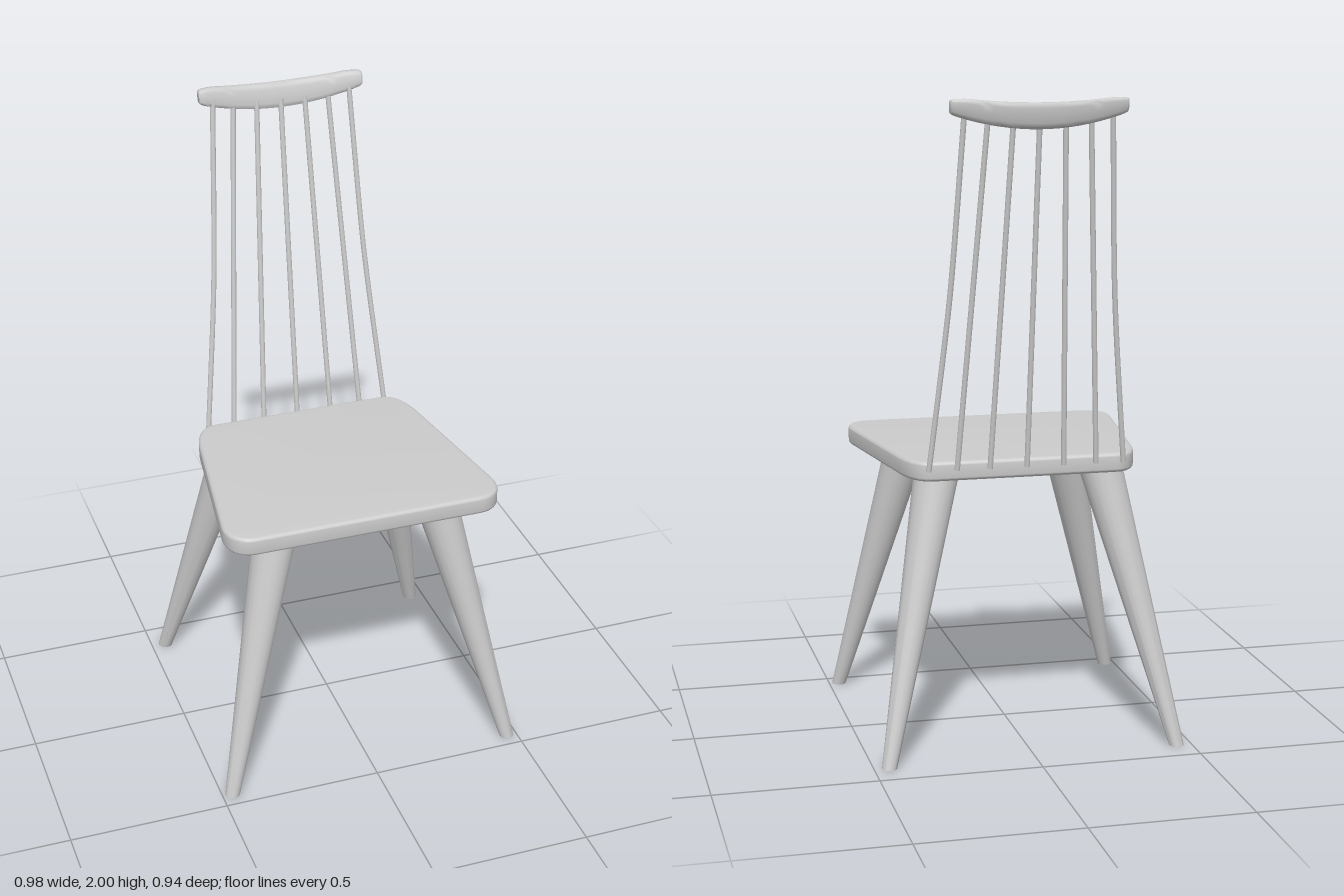
import * as THREE from 'three';
import { mergeVertices, toCreasedNormals } from 'three/addons/utils/BufferGeometryUtils.js';

const material = new THREE.MeshStandardMaterial({ color: 0xcccccc });

function addPart(parent, geometry, name) {
  const mesh = new THREE.Mesh(geometry, material);
  mesh.name = name;
  parent.add(mesh);
}

// Weld a built-in geometry and smooth it, keeping edges above the angle sharp
function smooth(geometry, angle) {
  geometry.deleteAttribute('normal');
  geometry.deleteAttribute('uv');
  return toCreasedNormals(mergeVertices(geometry, 1e-5), angle);
}

// Trapezoid seat with rounded corners and softened edges
function seatGeometry() {
  const s = new THREE.Shape();
  s.moveTo(-0.36, 0.415);
  s.lineTo(0.36, 0.415);
  s.bezierCurveTo(0.41, 0.415, 0.447, 0.375, 0.44, 0.31);
  s.lineTo(0.37, -0.17);
  s.bezierCurveTo(0.355, -0.25, 0.33, -0.29, 0.28, -0.29);
  s.lineTo(-0.28, -0.29);
  s.bezierCurveTo(-0.33, -0.29, -0.355, -0.25, -0.37, -0.17);
  s.lineTo(-0.44, 0.31);
  s.bezierCurveTo(-0.447, 0.375, -0.41, 0.415, -0.36, 0.415);
  const g = new THREE.ExtrudeGeometry(s, {
    depth: 0.038, curveSegments: 10,
    bevelThickness: 0.011, bevelSize: 0.011, bevelOffset: -0.011, bevelSegments: 4
  });
  g.rotateX(Math.PI / 2);
  g.translate(0, 0.899, 0);
  return smooth(g, 0.45);
}

// Tapered leg, sheared so that both ends stay level
function legGeometry(top, foot) {
  const h = 0.852;
  const g = new THREE.CylinderGeometry(0.07, 0.023, h, 20);
  g.translate(0, h / 2, 0);
  const p = g.attributes.position;
  for (let i = 0; i < p.count; i++) {
    const t = p.getY(i) / h;
    p.setX(i, p.getX(i) + THREE.MathUtils.lerp(foot[0], top[0], t));
    p.setZ(i, p.getZ(i) + THREE.MathUtils.lerp(foot[1], top[1], t));
  }
  return smooth(g, 0.7);
}

// Bowed top rail: rounded cross-sections swept along x, deeper in the middle
function crestGeometry() {
  const rings = 28, sides = 16, half = 0.265;
  const pos = [], index = [];
  const soft = (v) => Math.sign(v) * Math.pow(Math.abs(v), 0.6);
  for (let i = 0; i <= rings; i++) {
    const u = -Math.cos((i / rings) * Math.PI);
    const end = Math.sqrt(1 - Math.pow(Math.abs(u), 40));
    const top = 1.988 + 0.012 * Math.min(1, u * u * 1.5);
    const bottom = 1.91 + 0.045 * u * u;
    const cy = (top + bottom) / 2, hy = ((top - bottom) / 2) * (0.75 + 0.25 * end);
    const hz = 0.016 * (0.75 + 0.25 * end);
    for (let j = 0; j < sides; j++) {
      const a = (j / sides) * Math.PI * 2;
      const y = cy + hy * soft(Math.sin(a));
      const z = -0.453 + 0.021 * u * u - 0.2 * (y - 1.955) + hz * soft(Math.cos(a));
      pos.push(u * half, y, z);
    }
  }
  for (let i = 0; i < rings; i++) {
    for (let j = 0; j < sides; j++) {
      const a = i * sides + j, b = i * sides + (j + 1) % sides;
      index.push(a, a + sides, b, b, a + sides, b + sides);
    }
  }
  // End caps
  const last = rings * sides;
  for (let j = 1; j < sides - 1; j++) {
    index.push(0, j, j + 1);
    index.push(last, last + j + 1, last + j);
  }
  const g = new THREE.BufferGeometry();
  g.setAttribute('position', new THREE.Float32BufferAttribute(pos, 3));
  g.setIndex(index);
  return toCreasedNormals(g, 0.8);
}

// Thin round rod through a few points, closed at its lower end
function addSpindle(parent, points, name) {
  const [x, y, z] = points[0];
  const curve = new THREE.CatmullRomCurve3(points.map((p) => new THREE.Vector3(...p)));
  addPart(parent, new THREE.TubeGeometry(curve, 20, 0.0085, 10, false), name);
  const end = new THREE.CircleGeometry(0.0085, 10);
  end.lookAt(curve.getTangent(0).negate());
  end.translate(x, y, z);
  addPart(parent, end, name + 'End');
}

export function createModel() {
  const chair = new THREE.Group();
  chair.name = 'chair';

  addPart(chair, seatGeometry(), 'seat');

  // Four splayed legs
  for (const side of [1, -1]) {
    const label = side > 0 ? 'Left' : 'Right';
    addPart(chair, legGeometry([side * 0.26, 0.28], [side * 0.467, 0.45]), 'front' + label + 'Leg');
    addPart(chair, legGeometry([side * 0.26, -0.19], [side * 0.453, -0.404]), 'back' + label + 'Leg');
  }

  // Seven spindles fanning down from the rail, the outer pair bent
  const spindles = new THREE.Group();
  spindles.name = 'backSpindles';
  chair.add(spindles);
  const straight = (x0, x1) => [[x0, 0.885, -0.295], [x1, 1.94, -0.438]];
  addSpindle(spindles, straight(0, 0), 'centreSpindle');
  for (const side of [1, -1]) {
    const label = side > 0 ? 'left' : 'right';
    addSpindle(spindles, straight(side * 0.115, side * 0.078), label + 'InnerSpindle');
    addSpindle(spindles, straight(side * 0.217, side * 0.154), label + 'MiddleSpindle');
    addSpindle(spindles, [
      [side * 0.304, 0.885, -0.295], [side * 0.261, 1.31, -0.348],
      [side * 0.248, 1.47, -0.369], [side * 0.221, 1.965, -0.432]
    ], label + 'OuterSpindle');
  }

  addPart(chair, crestGeometry(), 'topRail');
  return chair;
}
